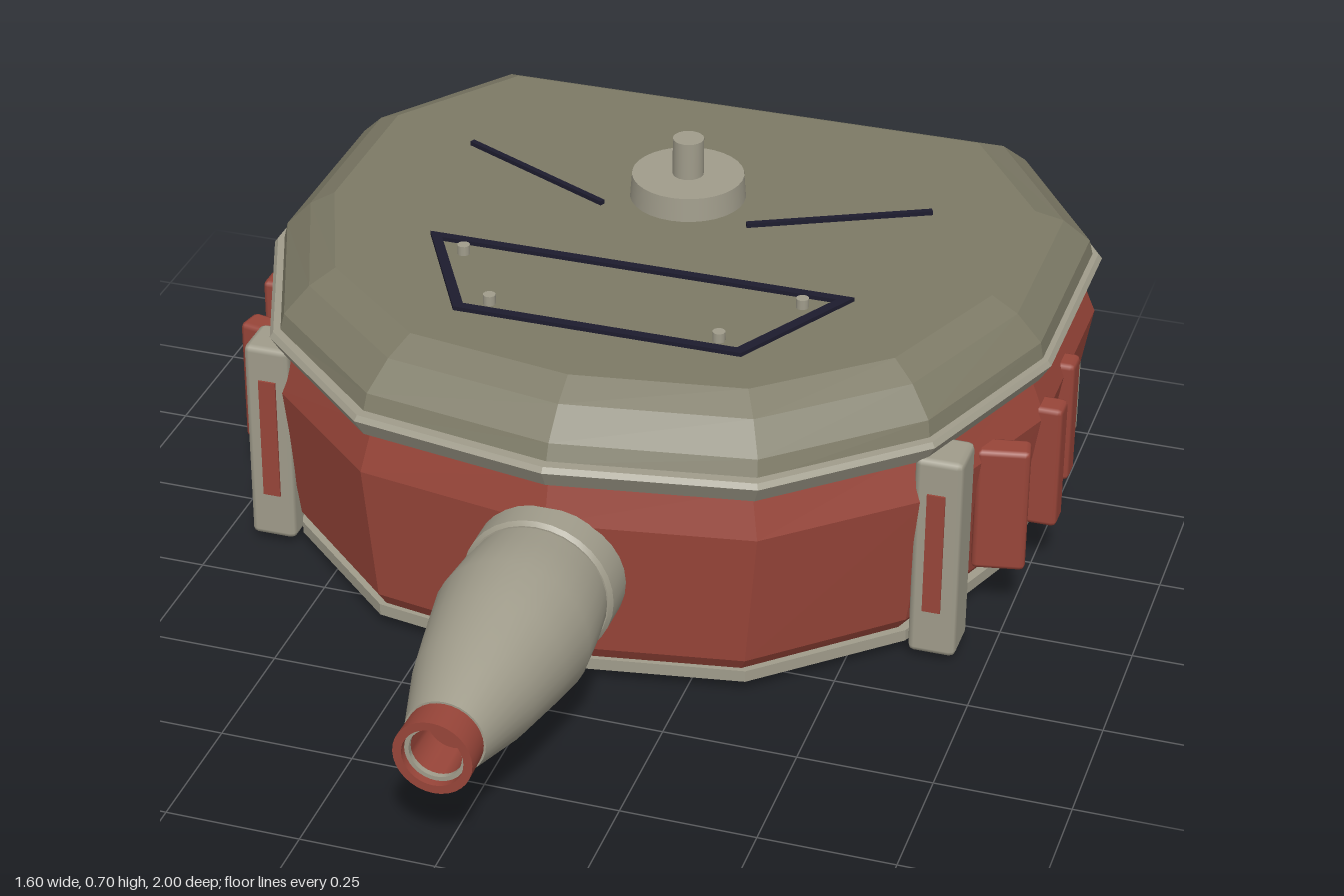
import * as THREE from 'three';
import { toCreasedNormals } from 'three/addons/utils/BufferGeometryUtils.js';
import { RoundedBoxGeometry } from 'three/addons/geometries/RoundedBoxGeometry.js';

// Half of the hull plan (x, z) from the front tip to the middle of the back
const HALF = [[0, 0.43], [0.38, 0.365], [0.64, 0.13], [0.772, -0.22], [0.772, -0.655], [0.57, -0.96], [0.48, -0.96]];
const PLAN = [...HALF, ...HALF.slice(1).reverse().map(([x, z]) => [-x, z])];
const BACK = HALF.length - 1; // index of the middle facet at the back

// Faceted shell through layers [y, halfWidth, zBack, zFront]
function loft(layers, { caps = true, skip = -1 } = {}) {
  const rings = layers.map(([y, w, zb, zf]) => PLAN.map(([x, z]) =>
    [x / 0.772 * w, y, zb + (z + 0.96) / 1.39 * (zf - zb)]));
  const pos = [];
  const tri = (...p) => p.forEach((v) => pos.push(...v));
  const n = PLAN.length, last = rings.length - 1;
  for (let i = 0; i < n; i++) {
    const j = (i + 1) % n;
    if (i !== skip) {
      for (let k = 0; k < last; k++) {
        const lo = rings[k], hi = rings[k + 1];
        tri(lo[i], lo[j], hi[j]);
        tri(lo[i], hi[j], hi[i]);
      }
    }
    if (caps) {
      tri([0, layers[last][0], -0.3], rings[last][i], rings[last][j]);
      tri([0, layers[0][0], -0.3], rings[0][j], rings[0][i]);
    }
  }
  const g = new THREE.BufferGeometry();
  g.setAttribute('position', new THREE.Float32BufferAttribute(pos, 3));
  g.computeVertexNormals();
  return g;
}

const circle = (T, x, y, r) => new T().absarc(x, y, r, 0, Math.PI * 2, false);
const polygon = (T, pts) => new T(pts.map(([x, y]) => new THREE.Vector2(x, y)));

// Turned part with its axis along z
function turned(points) {
  const g = new THREE.LatheGeometry(points.map(([r, z]) => new THREE.Vector2(r, z)), 32);
  return toCreasedNormals(g.rotateX(Math.PI / 2), 0.6);
}

export function createModel() {
  const mat = (name, color) => {
    const m = new THREE.MeshStandardMaterial({ color });
    m.name = name;
    return m;
  };
  const olive = mat('olive', 0x7d7a66);
  const stone = mat('stone', 0xa09c8b);
  const red = mat('brick red', 0x984539);
  const redInside = mat('brick red lining', 0x984539);
  redInside.side = THREE.DoubleSide;
  const dark = mat('dark navy', 0x1d1c2e);

  const model = new THREE.Group();
  const add = (name, geo, material, x = 0, y = 0, z = 0, ry = 0) => {
    const m = new THREE.Mesh(geo, material);
    m.name = name;
    m.position.set(x, y, z);
    m.rotation.y = ry;
    model.add(m);
    return m;
  };
  const box = (w, h, d, r) => new RoundedBoxGeometry(w, h, d, 1, r);

  // Hull, from the floor up
  add('basePlate', loft([[0, 0.605, -0.80, 0.345], [0.022, 0.66, -0.85, 0.37]]), red);
  add('lowerTrim', loft([[0.015, 0.70, -0.89, 0.38], [0.022, 0.72, -0.91, 0.395], [0.045, 0.72, -0.91, 0.395]]), stone);
  add('body', loft([[0.044, 0.70, -0.90, 0.385], [0.07, 0.72, -0.915, 0.40],
    [0.34, 0.765, -0.95, 0.415], [0.43, 0.73, -0.93, 0.39]], { caps: false, skip: BACK }), red);
  add('rim', loft([[0.42, 0.75, -0.94, 0.41], [0.455, 0.772, -0.96, 0.43], [0.465, 0.765, -0.953, 0.423]]), stone);
  add('lid', loft([[0.46, 0.755, -0.945, 0.405], [0.495, 0.748, -0.935, 0.39],
    [0.545, 0.70, -0.885, 0.335], [0.575, 0.65, -0.825, 0.28]]), olive);

  // Knob on the lid
  add('knobDisc', new THREE.CylinderGeometry(0.108, 0.112, 0.05, 32), stone, 0, 0.597, -0.44);
  add('knobPin', new THREE.CylinderGeometry(0.03, 0.03, 0.08, 20), stone, 0, 0.657, -0.44);

  // Hatch outline with rivets
  const hatch = polygon(THREE.Shape, [[-0.415, -0.135], [0.415, -0.135], [0.275, 0.125], [-0.275, 0.125]]);
  hatch.holes.push(polygon(THREE.Path, [[-0.385, -0.118], [0.385, -0.118], [0.262, 0.107], [-0.262, 0.107]]));
  const hatchGeo = new THREE.ExtrudeGeometry(hatch, { depth: 0.009, bevelEnabled: false }).rotateX(Math.PI / 2);
  add('hatchOutline', hatchGeo, dark, 0, 0.583, 0);

  for (const s of [1, -1]) {
    for (const [x, z] of [[0.33, -0.085], [0.22, 0.08]]) {
      add('hatchRivet', new THREE.CylinderGeometry(0.012, 0.012, 0.024, 12), stone, s * x, 0.582, z);
    }
    add('lidSlash', new THREE.BoxGeometry(0.36, 0.009, 0.011), dark, s * 0.305, 0.579, -0.43, s * 0.46);

    // Upright brackets at the corners
    add('frontBracket', box(0.09, 0.415, 0.095, 0.012), stone, s * 0.65, 0.222, 0.087);
    add('bracketInlay', new THREE.BoxGeometry(0.034, 0.25, 0.009), red, s * 0.648, 0.235, 0.134);
    add('rearBracket', box(0.11, 0.415, 0.10, 0.012), stone, s * 0.675, 0.222, -0.69);

    // Grip bars along the sides
    for (const [x, z, turn] of [[0.725, -0.065, 0.2], [0.75, -0.24, 0], [0.735, -0.41, 0]]) {
      add('gripBar', box(0.1, 0.255, 0.055, 0.01), red, s * x, 0.237, z, s * turn);
    }
  }

  // Barrel at the front
  const axisY = 0.227;
  add('barrelCollar', turned([[0, 0.34], [0.143, 0.34], [0.143, 0.455], [0.136, 0.463], [0, 0.463]]), stone, 0, axisY, 0);
  add('barrel', turned([[0.13, 0.44], [0.14, 0.51], [0.147, 0.6], [0.132, 0.69], [0.112, 0.8], [0.074, 0.938], [0.05, 0.938]]),
    stone, 0, axisY, 0);
  add('muzzle', turned([[0.07, 0.93], [0.072, 1], [0.056, 1], [0.056, 0.985]]), red, 0, axisY, 0);
  add('muzzleRing', turned([[0.057, 0.985], [0.048, 0.985], [0.048, 0.975]]), stone, 0, axisY, 0);
  add('muzzleBore', turned([[0.048, 0.975], [0.046, 0.9], [0, 0.9]]), red, 0, axisY, 0);

  // Rear panel with a round port and vents
  const portX = -0.235, portY = 0.225, portR = 0.178;
  const panel = polygon(THREE.Shape, [[-0.485, 0.018], [0.485, 0.018], [0.485, 0.443], [-0.485, 0.443]]);
  panel.holes.push(circle(THREE.Path, portX, portY, portR));
  add('rearPanel', new THREE.ExtrudeGeometry(panel, { depth: 0.092, bevelEnabled: false, curveSegments: 32 }), stone, 0, 0, -0.986);

  const ring = circle(THREE.Shape, 0, 0, 0.22);
  ring.holes.push(circle(THREE.Path, 0, 0, portR));
  add('portRing', new THREE.ExtrudeGeometry(ring, { depth: 0.03, bevelEnabled: false, curveSegments: 32 }), stone, portX, portY, -0.996);
  const lining = new THREE.CylinderGeometry(portR - 0.002, portR - 0.002, 0.13, 40, 1, true).rotateX(Math.PI / 2);
  add('portLining', lining, redInside, portX, portY, -0.915);
  add('portBack', new THREE.CircleGeometry(portR, 40).rotateY(Math.PI), dark, portX, portY, -0.852);

  for (const y of [0.17, 0.235, 0.3]) {
    add('ventSlot', box(0.19, 0.022, 0.02, 0.006), dark, 0.32, y, -0.99);
  }
  return model;
}
